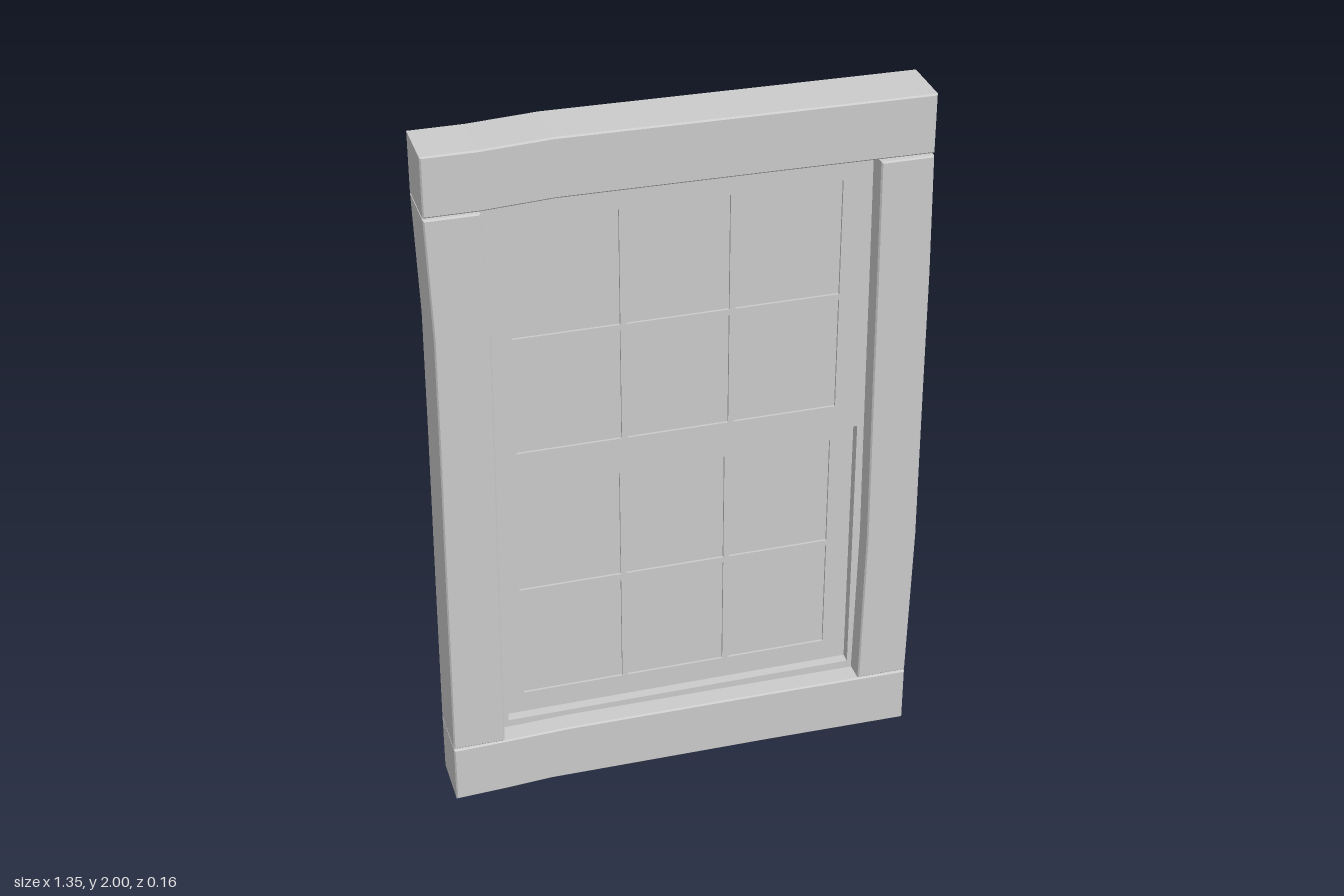
import * as THREE from 'three';

const material = new THREE.MeshStandardMaterial({ color: 0xcccccc, flatShading: true });

// Extrude a polygon (with optional rectangular holes) between two depths
function slab(name, points, z0, z1, holes = [], bevel = 0) {
  const toVec = (p) => new THREE.Vector2(p[0], p[1]);
  const shape = new THREE.Shape(points.map(toVec));
  for (const h of holes) shape.holes.push(new THREE.Path(rect(...h).reverse().map(toVec)));
  const geometry = new THREE.ExtrudeGeometry(shape, {
    depth: z1 - z0 - 2 * bevel,
    bevelEnabled: bevel > 0,
    bevelSize: bevel, bevelThickness: bevel, bevelOffset: -bevel, bevelSegments: 1,
  });
  geometry.translate(0, 0, z0 + bevel);
  const mesh = new THREE.Mesh(geometry, material);
  mesh.name = name;
  return mesh;
}

function rect(x0, y0, x1, y1) {
  return [[x0, y0], [x1, y0], [x1, y1], [x0, y1]];
}

// Sash: rails and glazing bars cut by a 3 x 2 grid of panes, plus a thin glass sheet
function sash(name, outline, rows, z0, z1) {
  const group = new THREE.Group();
  group.name = name;
  const columns = [[-0.452, -0.164], [-0.148, 0.132], [0.148, 0.436]];
  const holes = [];
  for (const [x0, x1] of columns) for (const [y0, y1] of rows) holes.push([x0, y0, x1, y1]);
  group.add(slab(name + 'Bars', rect(...outline), z0, z1, holes));
  const mid = (z0 + z1) / 2;
  group.add(slab(name + 'Glass', rect(-0.47, rows[0][0] - 0.02, 0.45, rows[1][1] + 0.02), mid - 0.001, mid + 0.001));
  return group;
}

export function createModel() {
  const model = new THREE.Group();
  model.name = 'sashWindow';
  const D = 0.0825; // half depth of the frame
  const B = 0.004;  // frame bevel

  // Hand-cut outer frame with slightly wavy boards
  model.add(slab('lintel', [
    [-0.675, 1.825], [-0.53, 1.825], [-0.34, 1.835], [0.25, 1.831], [0.66, 1.827],
    [0.66, 1.992], [0.25, 1.995], [-0.34, 2.0], [-0.53, 1.99], [-0.675, 1.99],
  ], -D, D, [], B));
  model.add(slab('sill', [
    [-0.675, 0.0], [-0.53, 0.006], [-0.4, 0.014], [0.25, 0.01], [0.66, 0.004],
    [0.66, 0.174], [0.25, 0.179], [-0.34, 0.183], [-0.53, 0.177], [-0.675, 0.174],
  ], -D, D, [], B));
  model.add(slab('rightJamb', [
    [-0.675, 0.178], [-0.53, 0.178], [-0.526, 0.65], [-0.52, 1.15], [-0.517, 1.48], [-0.53, 1.82],
    [-0.675, 1.82], [-0.664, 1.48], [-0.666, 1.15], [-0.671, 0.65],
  ], -D, D, [], B));
  model.add(slab('leftJamb', [
    [0.516, 0.178], [0.66, 0.178], [0.67, 0.65], [0.667, 1.15], [0.666, 1.48], [0.66, 1.82],
    [0.516, 1.82], [0.519, 1.48], [0.521, 1.15], [0.525, 0.65],
  ], -D, D, [], B));

  // Sashes: upper one set forward, lower one set back
  const F = 0.0225, S = 0.007;
  model.add(sash('upperSash', [-0.55, 1.0, 0.55, 1.87], [[1.074, 1.403], [1.42, 1.753]], S, F));
  model.add(sash('lowerSash', [-0.55, 0.14, 0.55, 1.01], [[0.265, 0.597], [0.615, 0.947]], -F, -S));

  // Stops lining the open half in front of the lower sash and behind the upper one
  const stop = (name, y0, y1, open, z0, z1) => model.add(slab(name, [
    [-0.55, y0], [0.55, y0], [0.55, y1], [0.503, y1], [0.503, open], [-0.505, open], [-0.505, y1], [-0.55, y1],
  ], z0, z1));
  stop('lowerStop', 0.14, 1.0, 0.2, -S, F);
  // Upper stop opens downward, so its outline runs the other way
  model.add(slab('upperStop', [
    [-0.55, 1.01], [-0.505, 1.01], [-0.505, 1.806], [0.503, 1.806], [0.503, 1.01], [0.55, 1.01], [0.55, 1.87], [-0.55, 1.87],
  ], -F, S));

  // Meeting rail closing the gap between the two sashes
  model.add(slab('meetingRail', rect(-0.505, 1.0, 0.503, 1.01), -S, S));
  return model;
}
